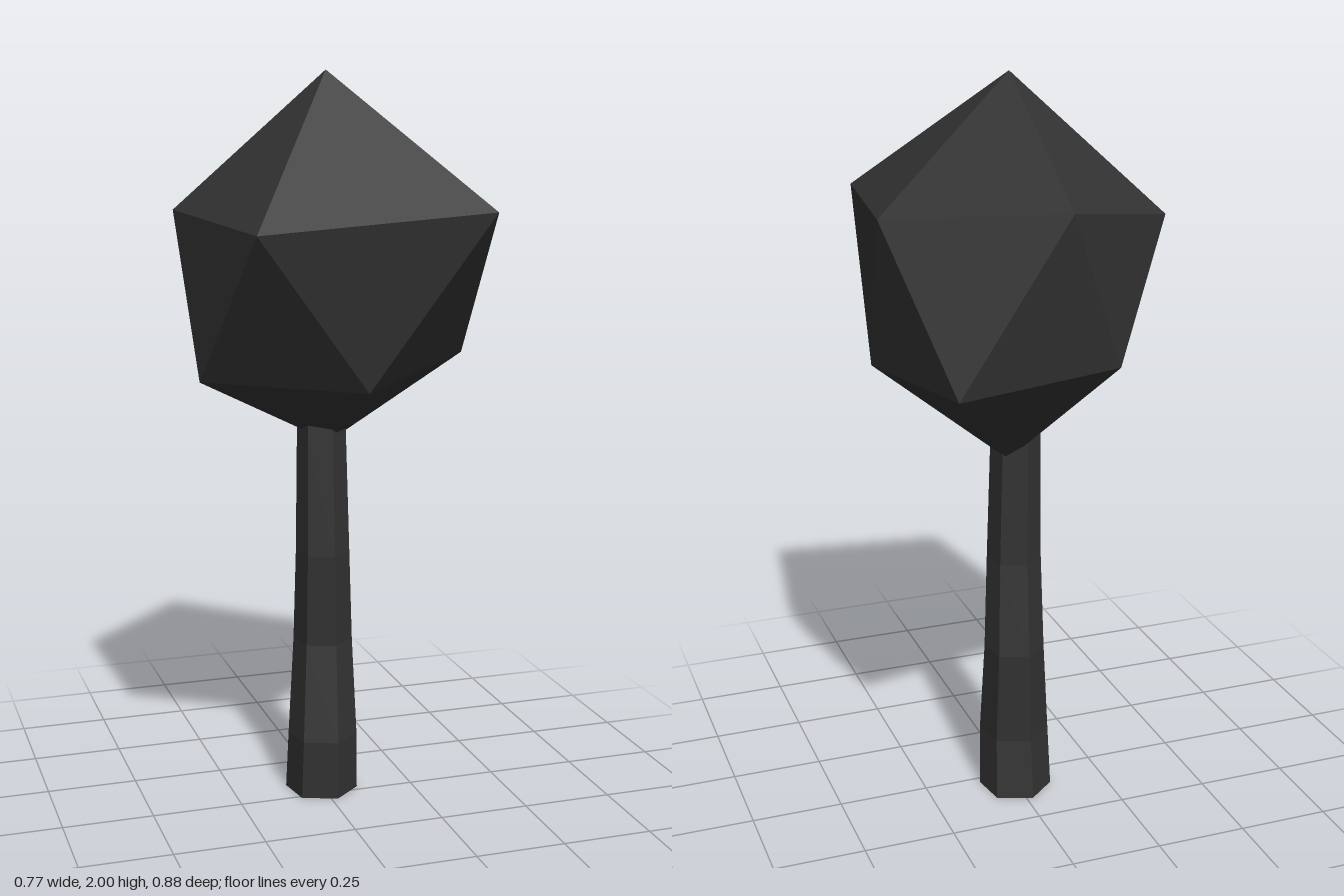
import * as THREE from 'three';

const leafGrey = new THREE.MeshStandardMaterial({ color: 0x333333, flatShading: true });
leafGrey.name = 'charcoal grey';

// Flat-shaded mesh from points and triangles
function facetedMesh(name, points, faces) {
  const geometry = new THREE.BufferGeometry();
  geometry.setAttribute('position', new THREE.Float32BufferAttribute(points.flat(), 3));
  geometry.setIndex(faces.flat());
  const flat = geometry.toNonIndexed();
  flat.computeVertexNormals();
  const mesh = new THREE.Mesh(flat, leafGrey);
  mesh.name = name;
  return mesh;
}

// Crooked six-sided trunk, lofted through shifted hexagons
function createTrunk() {
  const sides = 6;
  const sections = [ // y, centre x, centre z, radius
    [0, 0, -0.055, 0.101],
    [0.17, -0.002, -0.038, 0.096],
    [0.44, 0.007, -0.065, 0.082],
    [0.7, 0, -0.043, 0.074],
    [1.03, 0, -0.053, 0.067],
    [1.1, 0, -0.055, 0.066],
  ];
  const points = [], faces = [];
  for (const [y, cx, cz, r] of sections) {
    for (let i = 0; i < sides; i++) {
      const a = THREE.MathUtils.degToRad(20 + i * 60);
      points.push([cx + r * Math.cos(a), y, cz + r * Math.sin(a)]);
    }
  }
  const last = (sections.length - 1) * sides;
  for (let i = 0; i < sides; i++) {
    const j = (i + 1) % sides;
    for (let k = 0; k < last; k += sides) {
      faces.push([k + i, k + sides + i, k + sides + j], [k + i, k + sides + j, k + j]);
    }
    // End caps
    if (i > 0 && i < sides - 1) faces.push([0, i, j], [last, last + j, last + i]);
  }
  return facetedMesh('trunk', points, faces);
}

// Crown: uneven icosahedron from a tip, two staggered rings and a bottom point
function createCrown() {
  const points = [
    [-0.02, 2, 0.05],
    // upper ring
    [0.3, 1.66, 0.44], [-0.3, 1.615, 0.395], [-0.385, 1.64, -0.13], [-0.005, 1.73, -0.44], [0.385, 1.68, -0.12],
    // lower ring
    [0.01, 1.205, 0.32], [-0.365, 1.21, 0.06], [-0.185, 1.3, -0.32], [0.275, 1.285, -0.41], [0.36, 1.255, 0.06],
    [0.03, 1, -0.08],
  ];
  const faces = [];
  for (let i = 0; i < 5; i++) {
    const j = (i + 1) % 5;
    const u = 1 + i, uNext = 1 + j, l = 6 + i, lNext = 6 + j;
    faces.push([0, uNext, u], [u, uNext, l], [l, uNext, lNext], [11, l, lNext]);
  }
  return facetedMesh('crown', points, faces);
}

export function createModel() {
  const tree = new THREE.Group();
  tree.name = 'tree';
  tree.add(createTrunk(), createCrown());
  return tree;
}
